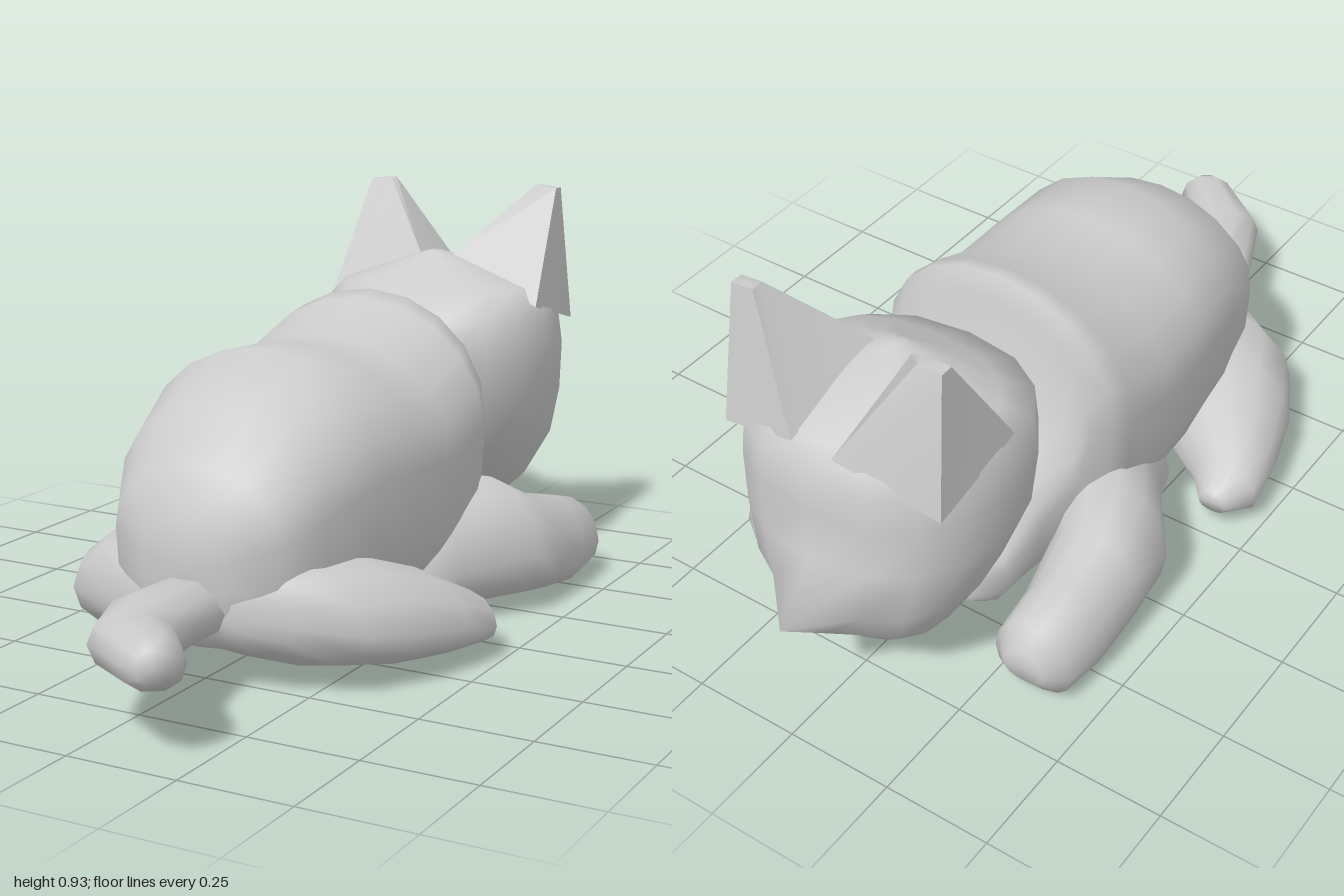
import * as THREE from 'three';
import { toCreasedNormals } from 'three/addons/utils/BufferGeometryUtils.js';

const material = new THREE.MeshStandardMaterial({ color: 0xcccccc });

// Skin a list of closed rings (arrays of [x, y, z]) and close both ends.
function loft(rings) {
  const n = rings[0].length, pos = rings.flat(2), index = [];
  const cap = (ring) => {
    for (let k = 0; k < 3; k++) pos.push(ring.reduce((s, p) => s + p[k], 0) / n);
    return pos.length / 3 - 1;
  };
  const first = cap(rings[0]), last = cap(rings[rings.length - 1]);
  const base = (rings.length - 1) * n;
  for (let j = 0; j < n; j++) {
    const k = (j + 1) % n;
    for (let i = 0; i < rings.length - 1; i++) {
      const a = i * n + j, b = i * n + k;
      index.push(a, b, b + n, a, b + n, a + n);
    }
    index.push(first, k, j, last, base + j, base + k);
  }
  const geo = new THREE.BufferGeometry();
  geo.setAttribute('position', new THREE.Float32BufferAttribute(pos, 3));
  geo.setIndex(index);
  geo.computeVertexNormals();
  return geo;
}

// Superellipse with unit radii; upper and lower halves may differ in roundness.
function outline(n, upper, lower = upper) {
  const f = (v, p) => (Math.abs(v) < 1e-9 ? 0 : Math.sign(v) * Math.pow(Math.abs(v), 2 / p));
  return Array.from({ length: n }, (_, i) => {
    const t = (i / n) * Math.PI * 2, p = i <= n / 2 ? upper : lower;
    return [f(Math.cos(t), p), f(Math.sin(t), p)];
  });
}

// Upright section: z, centre x, half width, bottom, top, turn about y.
// mid is the height fraction at which the section is widest.
function uprightRing([z, cx, rx, y0, y1, yaw = 0], shape, mid = 0.5, side = 1) {
  const cy = y0 + (y1 - y0) * mid;
  return shape.map(([u, v]) => [
    cx * side + u * rx * Math.cos(yaw),
    cy + v * (v > 0 ? y1 - cy : cy - y0),
    z - u * rx * Math.sin(yaw * side),
  ]);
}

// Level section: y, back z, face z, half width, how far the nose sticks out.
function levelRing([y, zb, zf, w, nose = 0], shape) {
  return shape.map(([u, v], i) => [
    u * w, y, (zb + zf) / 2 - (v * (zb - zf)) / 2 - (i === shape.length / 4 ? nose : 0),
  ]);
}

export function createModel() {
  const group = new THREE.Group();
  const add = (name, geo) => {
    const mesh = new THREE.Mesh(geo, material);
    mesh.name = name;
    group.add(mesh);
  };

  // Body, from chest to rump
  const body = [
    [-0.55, 0, 0.14, 0.06, 0.19], [-0.5, 0, 0.2, 0.03, 0.27],
    [-0.4, 0, 0.22, 0.025, 0.38], [-0.3, 0, 0.25, 0.025, 0.5],
    [-0.28, 0, 0.27, 0.025, 0.7], [-0.24, 0, 0.3, 0.025, 0.73],
    [-0.19, 0, 0.315, 0.025, 0.715], [-0.03, 0, 0.318, 0.025, 0.65],
    [0.12, 0, 0.31, 0.025, 0.66], [0.27, 0, 0.295, 0.025, 0.67],
    [0.43, 0, 0.255, 0.045, 0.58], [0.53, 0, 0.2, 0.08, 0.47],
    [0.58, 0, 0.1, 0.15, 0.37],
  ];
  const bodyShape = outline(20, 2.05, 2.8);
  add('body', loft(body.map((r) => uprightRing(r, bodyShape, 0.6))));

  // Full-cheeked head with a small pointed nose
  const head = [
    [0.12, -0.63, -0.78, 0.1, 0.01], [0.2, -0.55, -0.84, 0.19, 0.04],
    [0.31, -0.44, -0.9, 0.255, 0.1], [0.43, -0.36, -0.895, 0.29, 0.005],
    [0.55, -0.34, -0.89, 0.298], [0.64, -0.34, -0.885, 0.285],
    [0.7, -0.44, -0.84, 0.25], [0.755, -0.53, -0.68, 0.09],
    [0.78, -0.565, -0.6, 0.015],
  ];
  const headShape = outline(16, 2.4);
  add('head', loft(head.map((r) => levelRing(r, headShape))));

  // Tail, curving to one side
  const tail = [
    [0.5, 0, 0.09, 0.11, 0.24], [0.7, 0, 0.1, 0.115, 0.245, 0.2],
    [0.84, 0.05, 0.09, 0.125, 0.25, 0.6], [0.945, 0.165, 0.065, 0.14, 0.255, 0.6],
    [0.975, 0.185, 0.035, 0.165, 0.235, 0.6],
  ];
  const tailShape = outline(10, 2.2);
  add('tail', loft(tail.map((r) => uprightRing(r, tailShape))));

  // Legs, from paw back into the body
  const frontLeg = [
    [-0.65, 0.345, 0.05, 0.06, 0.14], [-0.615, 0.345, 0.095, 0.015, 0.19],
    [-0.5, 0.345, 0.105, 0, 0.22], [-0.36, 0.33, 0.12, 0.015, 0.255],
    [-0.24, 0.28, 0.165, 0.025, 0.32], [-0.07, 0.2, 0.125, 0.025, 0.28],
    [0.04, 0.18, 0.1, 0.03, 0.2],
  ];
  const hindLeg = [
    [0.025, 0.405, 0.035, 0.055, 0.11], [0.09, 0.4, 0.085, 0.03, 0.15],
    [0.2, 0.3, 0.172, 0.022, 0.22], [0.33, 0.2, 0.235, 0.025, 0.27],
    [0.46, 0.14, 0.225, 0.05, 0.28], [0.53, 0.09, 0.145, 0.085, 0.27],
    [0.57, 0.05, 0.07, 0.12, 0.23],
  ];
  const legShape = outline(14, 2, 2.4);

  // Ear corners at base and tip: outer back, outer front, inner front, inner back
  const ear = [
    [[0.278, 0.66, -0.57], [0.272, 0.6, -0.81], [0.05, 0.69, -0.86], [0.04, 0.765, -0.59]],
    [[0.255, 0.93, -0.735], [0.255, 0.93, -0.765], [0.2, 0.935, -0.765], [0.2, 0.935, -0.735]],
  ];

  for (const side of [1, -1]) {
    const tag = side > 0 ? 'left' : 'right';
    add(tag + 'FrontLeg', loft(frontLeg.map((r) => uprightRing(r, legShape, 0.4, side))));
    add(tag + 'HindLeg', loft(hindLeg.map((r) => uprightRing(r, legShape, 0.38, side))));
    const rings = ear.map((ring) => {
      const pts = ring.map(([x, y, z]) => [x * side, y, z]);
      return side > 0 ? pts : pts.reverse();
    });
    add(tag + 'Ear', toCreasedNormals(loft(rings), 1.0));
  }
  return group;
}
